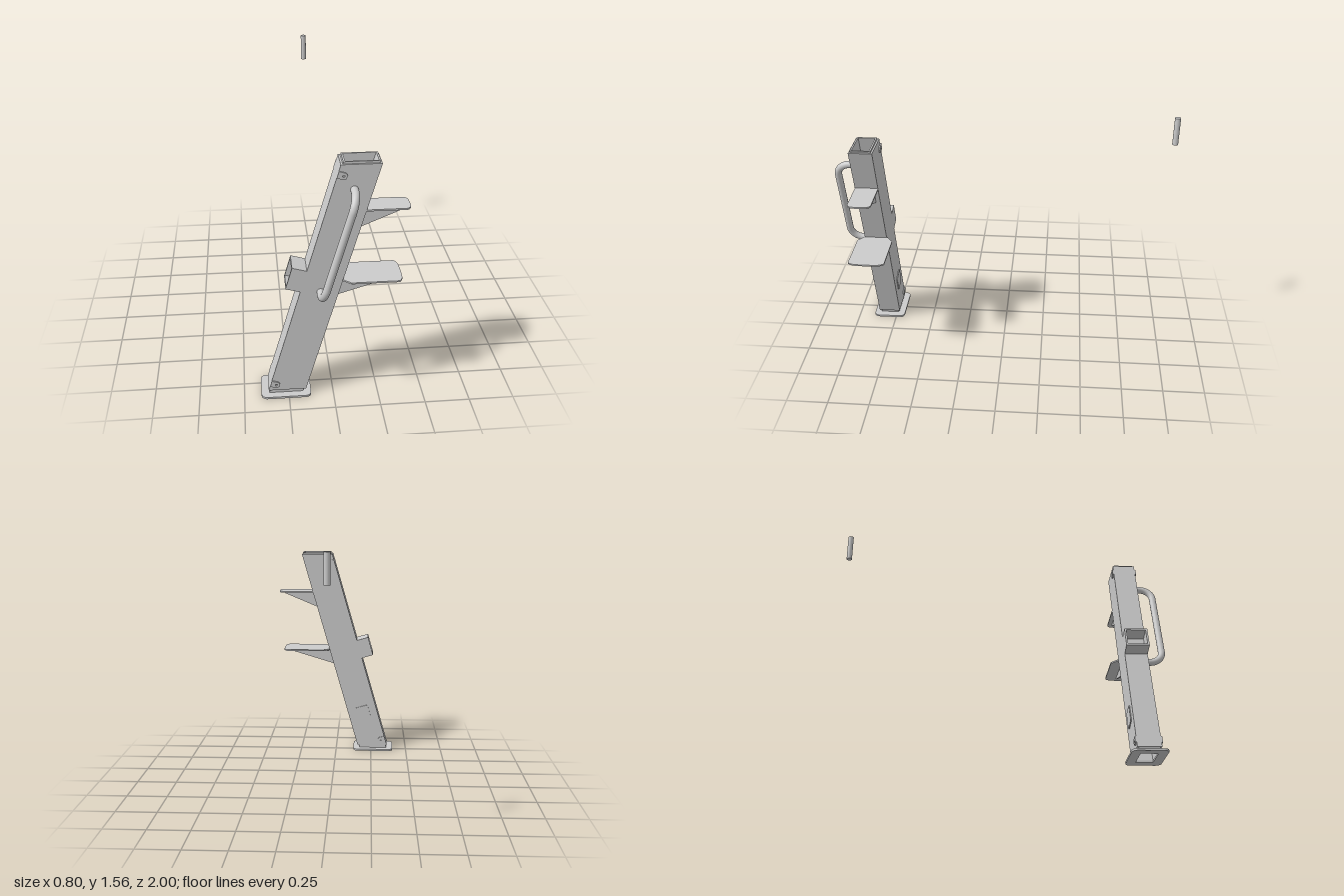
import * as THREE from 'three';

const mat = new THREE.MeshStandardMaterial({ color: 0xcccccc, side: THREE.DoubleSide });
const TILT = THREE.MathUtils.degToRad(16);
const SLOPE = Math.tan(TILT);
const FOOT_X = -0.269, MID_Z = 0.797;

function add(parent, name, geo, x = 0, y = 0, z = 0) {
  const m = new THREE.Mesh(geo, mat);
  m.name = name;
  m.position.set(x, y, z);
  parent.add(m);
  return m;
}

// Rounded (or square, r = 0) rectangle centred on the origin
function rect(w, h, r = 0, Type = THREE.Shape) {
  const s = new Type(), a = w / 2, b = h / 2;
  if (!r) return s.moveTo(-a, -b).lineTo(a, -b).lineTo(a, b).lineTo(-a, b).closePath();
  s.absarc(a - r, -b + r, r, -Math.PI / 2, 0);
  s.absarc(a - r, b - r, r, 0, Math.PI / 2);
  s.absarc(-a + r, b - r, r, Math.PI / 2, Math.PI);
  s.absarc(-a + r, -b + r, r, Math.PI, Math.PI * 1.5);
  return s.closePath();
}

const extrude = (shape, depth) =>
  new THREE.ExtrudeGeometry(shape, { depth, bevelEnabled: false, curveSegments: 8 });

// Horizontal plate from an x/z outline, with its underside at y = 0
const slab = (shape, t) => extrude(shape, t).rotateX(Math.PI / 2).translate(0, t, 0);

function ring(w, h, holeW, holeH, r = 0) {
  const s = rect(w, h, r);
  s.holes.push(rect(holeW, holeH, 0, THREE.Path));
  return s;
}

// Leaning rectangular tube with level ends
function leaningTube(w, d, y0, y1) {
  const g = slab(ring(w, d, 0.172, 0.1), y1 - y0).translate(0, y0, 0);
  g.applyMatrix4(new THREE.Matrix4().set(1, SLOPE, 0, 0, 0, 1, 0, 0, 0, 0, 1, 0, 0, 0, 0, 1));
  return g;
}

// Foot plate on two gussets; half = half width, root = half width at the post
function addStep(parent, name, { top, tip, half, root, gussetDrop, gussetTip }) {
  const g = new THREE.Group();
  g.name = name;
  g.position.z = MID_Z - 0.002;
  const face = (y) => FOOT_X + 0.105 + SLOPE * y;
  const x0 = face(top) - 0.004;
  const s = new THREE.Shape();
  s.moveTo(x0, -root).lineTo(x0 + 0.045, -half).lineTo(tip - 0.025, -half);
  s.quadraticCurveTo(tip - 0.012, -half + 0.004, tip - 0.003, -half * 0.68);
  s.quadraticCurveTo(tip + 0.003, 0, tip - 0.003, half * 0.68);
  s.quadraticCurveTo(tip - 0.012, half - 0.004, tip - 0.025, half);
  s.lineTo(x0 + 0.045, half).lineTo(x0, root).closePath();
  add(g, 'stepPlate', slab(s, 0.009), 0, top - 0.009, 0);

  const y1 = top - 0.009, y0 = top - gussetDrop;
  const tri = new THREE.Shape();
  tri.moveTo(face(y0) - 0.002, y0).lineTo(gussetTip, y1 - 0.008).lineTo(gussetTip, y1)
    .lineTo(face(y1) - 0.002, y1).closePath();
  for (const side of [-1, 1])
    add(g, 'stepGusset', extrude(tri, 0.008), 0, 0, side * 0.037 - 0.004);
  parent.add(g);
}

export function createModel() {
  const model = new THREE.Group();
  model.name = 'leaningPost';

  // Base and hollow post, with a narrower liner showing at both ends
  add(model, 'basePlate', slab(ring(0.279, 0.204, 0.16, 0.098, 0.032), 0.012), -0.265, 0, MID_Z - 0.001);
  add(model, 'postLiner', leaningTube(0.19, 0.118, 0.012, 1.41), FOOT_X, 0, MID_Z);
  add(model, 'post', leaningTube(0.21, 0.137, 0.035, 1.398), FOOT_X, 0, MID_Z);

  // Steps
  addStep(model, 'upperStep', { top: 1.142, tip: 0.398, half: 0.068, root: 0.068, gussetDrop: 0.112, gussetTip: 0.355 });
  addStep(model, 'lowerStep', { top: 0.737, tip: 0.366, half: 0.108, root: 0.07, gussetDrop: 0.11, gussetTip: 0.32 });

  // Fittings that follow the lean of the post
  const lean = new THREE.Group();
  lean.name = 'postFittings';
  lean.position.set(FOOT_X, 0, MID_Z);
  lean.rotation.z = -TILT;
  model.add(lean);

  // Open square socket
  add(lean, 'socket', extrude(ring(0.137, 0.131, 0.115, 0.109), 0.082).rotateY(-Math.PI / 2), -0.1, 0.736, 0);

  // Grab handle
  const low = 0.695, high = 1.312, out = 0.182, r = 0.08, wall = 0.06;
  const V = (y, z) => new THREE.Vector3(0.005, y, z);
  const path = new THREE.CurvePath();
  path.add(new THREE.LineCurve3(V(low, wall), V(low, out - r)));
  path.add(new THREE.CubicBezierCurve3(V(low, out - r), V(low, out - r * 0.45), V(low + r * 0.45, out), V(low + r, out)));
  path.add(new THREE.LineCurve3(V(low + r, out), V(high - r, out)));
  path.add(new THREE.CubicBezierCurve3(V(high - r, out), V(high - r * 0.45, out), V(high, out - r * 0.45), V(high, out - r)));
  path.add(new THREE.LineCurve3(V(high, out - r), V(high, wall)));
  add(lean, 'grabHandle', new THREE.TubeGeometry(path, 80, 0.021, 20));

  // Drilled tabs on both sides, near the top and bottom
  const tab = new THREE.Shape();
  tab.moveTo(-0.026, -0.019).lineTo(0.012, -0.019).lineTo(0.023, -0.01)
    .lineTo(0.023, 0.01).lineTo(0.012, 0.019).lineTo(-0.026, 0.019).closePath();
  tab.holes.push(new THREE.Path().absarc(0.005, 0, 0.006, 0, Math.PI * 2));
  for (const v of [0.058, 1.372])
    for (const side of [-1, 1])
      add(lean, 'tab', extrude(tab, 0.009), -0.075, v, side * 0.0715 - 0.0045);

  // Thin plate on the back face
  add(lean, 'backPlate', extrude(rect(0.095, 0.11, 0.012), 0.008), 0, 0.277, -0.074);

  // Separate upright pin
  add(model, 'pin', new THREE.CylinderGeometry(0.017, 0.017, 0.163, 24), -0.02, 1.479, -0.983);

  return model;
}
